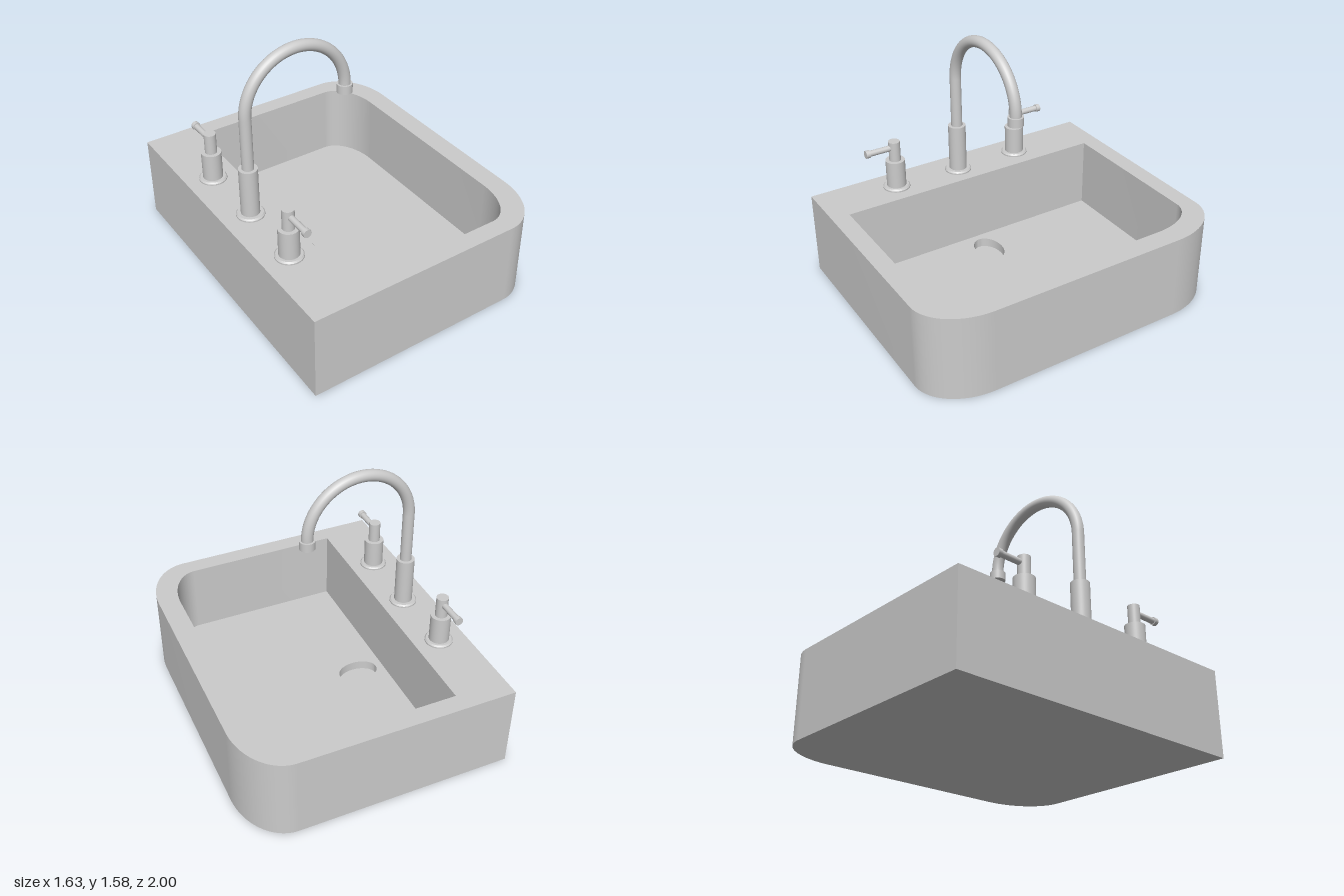
import * as THREE from 'three';
import { toCreasedNormals } from 'three/addons/utils/BufferGeometryUtils.js';

const TOP = 0.545, FLOOR = 0.08, DRAIN = 0.02;
const grey = new THREE.MeshStandardMaterial({ color: 0xcccccc });

function add(parent, name, geometry, x = 0, y = 0, z = 0) {
  const mesh = new THREE.Mesh(geometry, grey);
  mesh.name = name;
  mesh.position.set(x, y, z);
  parent.add(mesh);
  return mesh;
}

// Outline with square corners at -x and elliptical corners at +x
function outline(shape, x0, x1, halfZ, rx, rz) {
  shape.moveTo(x0, -halfZ);
  shape.lineTo(x1 - rx, -halfZ);
  shape.absellipse(x1 - rx, -halfZ + rz, rx, rz, -Math.PI / 2, 0);
  shape.absellipse(x1 - rx, halfZ - rz, rx, rz, 0, Math.PI / 2);
  shape.lineTo(x0, halfZ);
  shape.closePath();
  return shape;
}

const bowl = (shape) => outline(shape, -0.485, 0.683, 0.886, 0.19, 0.3);
const drain = (shape) => shape.absellipse(-0.31, 0, 0.13, 0.088, 0, Math.PI * 2);

// Extrude a plan shape upward from y = 0
function slab(shape, height) {
  const g = new THREE.ExtrudeGeometry(shape, { depth: height, bevelEnabled: false, curveSegments: 28 });
  g.rotateX(-Math.PI / 2);
  return toCreasedNormals(g, 0.5);
}

// Upright cylinder standing on y
function post(parent, name, r, y0, y1) {
  return add(parent, name, new THREE.CylinderGeometry(r, r, y1 - y0, 40), 0, (y0 + y1) / 2, 0);
}

// Low flange with a softened top edge
function flange(parent) {
  const profile = [[0, 0], [0.086, 0], [0.086, 0.009], [0.078, 0.018], [0, 0.018]];
  const g = new THREE.LatheGeometry(profile.map(([x, y]) => new THREE.Vector2(x, y)), 40);
  add(parent, 'flange', toCreasedNormals(g, 0.5), 0, TOP, 0);
}

function createHandle(name, z, dir) {
  const handle = new THREE.Group();
  handle.name = name;
  handle.position.set(-0.645, 0, z);
  flange(handle);
  post(handle, 'handleBody', 0.062, TOP, 0.74);
  post(handle, 'handleStem', 0.037, 0.74, 0.87);
  const lever = add(handle, 'lever', new THREE.CylinderGeometry(0.019, 0.019, 0.175, 24), 0, 0.828, dir * 0.0875);
  const cap = add(handle, 'leverCap', new THREE.CylinderGeometry(0.025, 0.025, 0.027, 24), 0, 0.828, dir * 0.184);
  lever.rotation.x = cap.rotation.x = Math.PI / 2;
  return handle;
}

function createFaucet() {
  const faucet = new THREE.Group();
  faucet.name = 'faucet';
  faucet.position.set(-0.635, 0, 0.037);
  faucet.rotation.y = 0.03; // spout is turned slightly toward -z
  flange(faucet);
  post(faucet, 'faucetBody', 0.057, TOP, 0.87);

  // Straight riser, then a half-circle gooseneck
  const R = 0.339, bendY = 1.2;
  post(faucet, 'riser', 0.036, 0.87, bendY);
  const arc = new THREE.TorusGeometry(R, 0.036, 24, 64, Math.PI);
  add(faucet, 'gooseneck', arc, R, bendY, 0);
  const nozzle = post(faucet, 'nozzle', 0.048, 1.145, bendY);
  nozzle.position.x = 2 * R;
  return faucet;
}

export function createModel() {
  const model = new THREE.Group();
  model.name = 'sink';

  // Basin walls around the bowl opening
  const walls = outline(new THREE.Shape(), -0.815, 0.815, 1, 0.275, 0.37);
  walls.holes.push(bowl(new THREE.Path()));
  add(model, 'basinWalls', slab(walls, TOP));

  // Bowl floor with a recessed oval drain
  const floor = bowl(new THREE.Shape());
  floor.holes.push(drain(new THREE.Path()));
  add(model, 'bowlFloor', slab(floor, FLOOR));
  add(model, 'drainBottom', slab(drain(new THREE.Shape()), DRAIN));

  model.add(createFaucet());
  model.add(createHandle('leftHandle', 0.484, 1));
  model.add(createHandle('rightHandle', -0.408, -1));
  return model;
}
